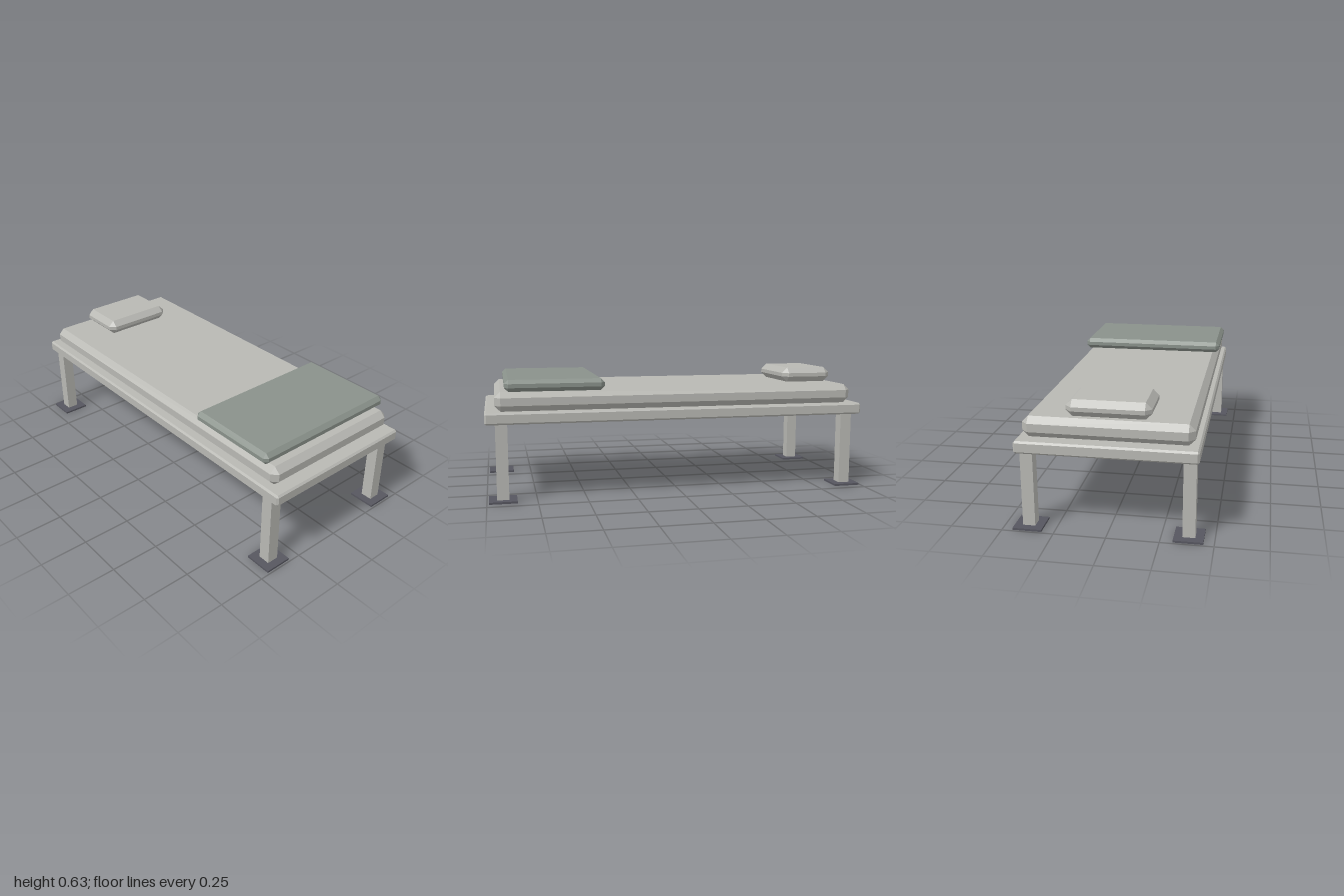
import * as THREE from 'three';
import { ConvexGeometry } from 'three/addons/geometries/ConvexGeometry.js';

// Box with bevelled edges and corners: three points around every corner
function bevelBox(w, h, d, b) {
  const points = [];
  for (const sx of [-1, 1]) for (const sy of [-1, 1]) for (const sz of [-1, 1]) {
    const x = w / 2, y = h / 2, z = d / 2;
    points.push(
      new THREE.Vector3(sx * x, sy * (y - b), sz * (z - b)),
      new THREE.Vector3(sx * (x - b), sy * y, sz * (z - b)),
      new THREE.Vector3(sx * (x - b), sy * (y - b), sz * z)
    );
  }
  return new ConvexGeometry(points);
}

export function createModel() {
  const group = new THREE.Group();
  const material = (name, color) => {
    const m = new THREE.MeshStandardMaterial({ color });
    m.name = name;
    return m;
  };
  const paleGrey = material('pale grey', 0xb8b8b3);
  const blanketGreen = material('grey green', 0x89918a);
  const footGrey = material('dark grey', 0x56565f);

  const add = (name, geometry, mat, x, y, z) => {
    const mesh = new THREE.Mesh(geometry, mat);
    mesh.name = name;
    mesh.position.set(x, y, z);
    group.add(mesh);
  };

  // Bed base and bedding
  add('bedFrame', bevelBox(0.85, 0.06, 2, 0.009), paleGrey, 0, 0.42, 0);
  add('mattress', bevelBox(0.8, 0.1, 1.9, 0.03), paleGrey, 0, 0.5, 0);
  add('pillow', bevelBox(0.4, 0.08, 0.28, 0.03), paleGrey, 0, 0.59, -0.78);
  add('foldedBlanket', bevelBox(0.82, 0.06, 0.5, 0.02), blanketGreen, 0, 0.58, 0.65);

  // Four square legs on flat foot plates
  const leg = new THREE.BoxGeometry(0.06, 0.39, 0.06);
  const foot = new THREE.BoxGeometry(0.14, 0.01, 0.14);
  for (const [side, x] of [['Left', 0.38], ['Right', -0.38]]) {
    for (const [end, z] of [['front', 0.92], ['back', -0.92]]) {
      add(`${end}${side}Leg`, leg, paleGrey, x, 0.2, z);
      add(`${end}${side}Foot`, foot, footGrey, x, 0.005, z);
    }
  }
  return group;
}
